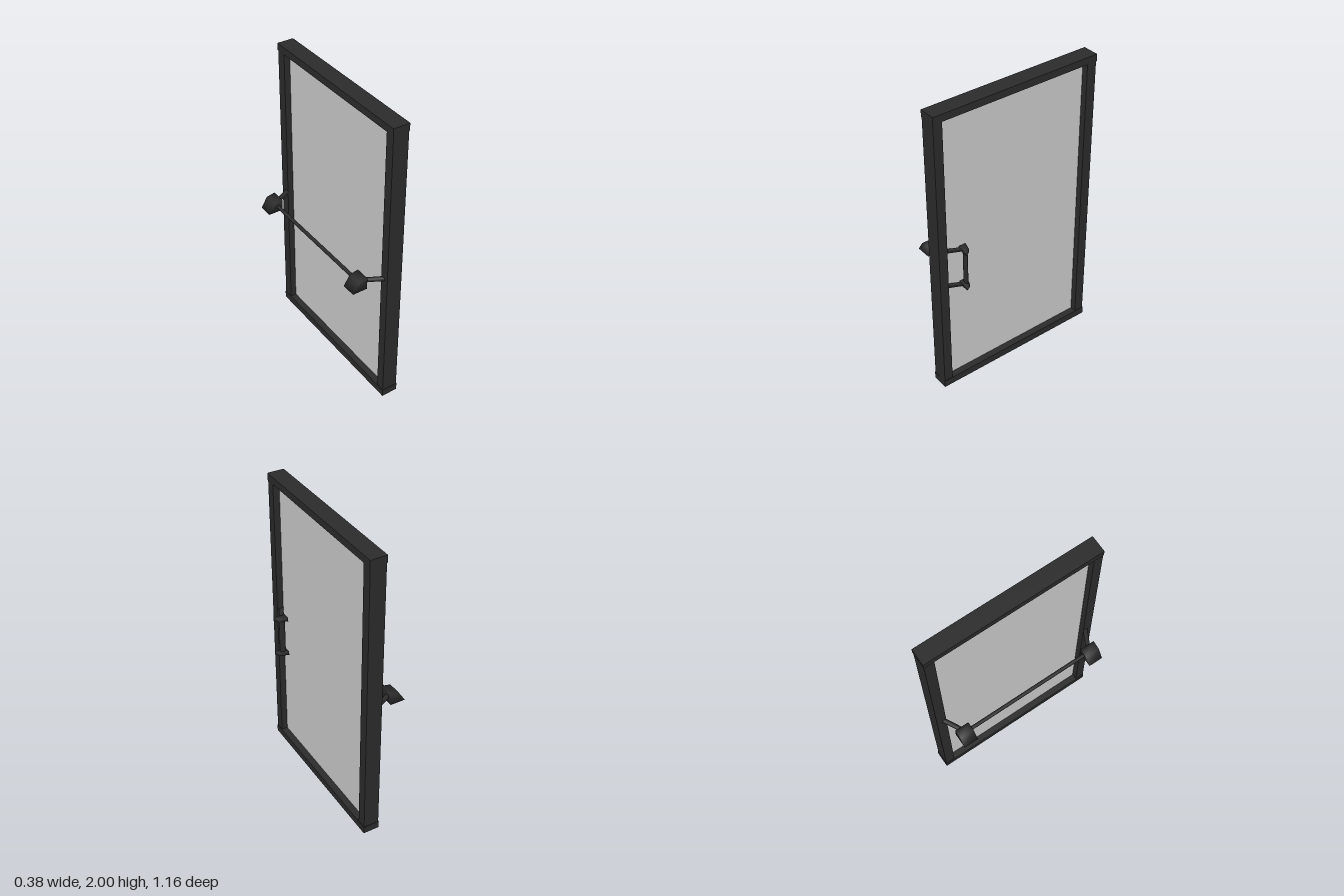
import * as THREE from 'three';
import { mergeVertices } from 'three/addons/utils/BufferGeometryUtils.js';

export function createModel() {
  const model = new THREE.Group();
  const dark = new THREE.MeshStandardMaterial({ color: 0x2b2b2b });
  const glass = new THREE.MeshStandardMaterial({ color: 0xc0c0c0 });
  const V = (x, y, z) => new THREE.Vector3(x, y, z);

  function add(name, geometry, parent = model, material = dark) {
    const mesh = new THREE.Mesh(geometry, material);
    mesh.name = name;
    parent.add(mesh);
    return mesh;
  }

  function box(name, x0, x1, y0, y1, z0, z1, material) {
    const mesh = add(name, new THREE.BoxGeometry(x1 - x0, y1 - y0, z1 - z0), model, material);
    mesh.position.set((x0 + x1) / 2, (y0 + y1) / 2, (z0 + z1) / 2);
  }

  // Round rod between two points
  function rod(name, a, b, radius, parent) {
    const dir = b.clone().sub(a);
    const mesh = add(name, new THREE.CylinderGeometry(radius, radius, dir.length(), 16), parent);
    mesh.position.copy(a).add(b).multiplyScalar(0.5);
    mesh.quaternion.setFromUnitVectors(V(0, 1, 0), dir.normalize());
    return mesh;
  }

  // Softly shaded end block from a profile, centred along its depth
  function block(name, points, depth, parent) {
    const shape = new THREE.Shape(points.map(([x, y]) => new THREE.Vector2(x, y)));
    const extruded = new THREE.ExtrudeGeometry(shape, { depth, bevelEnabled: false });
    extruded.translate(0, 0, -depth / 2);
    extruded.deleteAttribute('uv');
    extruded.deleteAttribute('normal');
    const geometry = mergeVertices(extruded);
    geometry.computeVertexNormals();
    return add(name, geometry, parent);
  }

  // Frame: rails slightly overhang the stiles
  box('topRail', 0.009, 0.119, 1.953, 2, -0.582, 0.582);
  box('bottomRail', 0.009, 0.119, 0, 0.05, -0.582, 0.582);
  box('frontStile', 0.012, 0.116, 0.05, 1.953, 0.52, 0.58);
  box('backStile', 0.012, 0.116, 0.05, 1.953, -0.579, -0.514);
  box('glassPane', 0.052, 0.074, 0.04, 1.96, -0.53, 0.53, glass);

  // Push bar across the inner side
  const pushBar = new THREE.Group();
  pushBar.name = 'pushBar';
  pushBar.position.z = 0.004;
  model.add(pushBar);
  rod('bar', V(-0.121, 0.94, -0.45), V(-0.121, 0.94, 0.45), 0.012, pushBar);
  const pushProfile = [[-0.191, 0.905], [-0.091, 0.905], [-0.091, 0.985], [-0.148, 0.973]];
  for (const side of [-1, 1]) {
    block('barEnd', pushProfile, 0.096, pushBar).position.z = side * 0.47;
    rod('barArm', V(-0.115, 0.943, side * 0.465), V(0.03, 0.943, side * 0.541), 0.015, pushBar);
  }

  // Pull handle on the outer side
  const handle = new THREE.Group();
  handle.name = 'pullHandle';
  model.add(handle);
  const grip = rod('grip', V(0.142, 0.79, 0.412), V(0.142, 1.055, 0.412), 0.021, handle);
  grip.scale.z = 0.5;
  const capProfile = [[0.188, -0.436], [0.169, -0.404], [0.11, -0.386], [0.11, -0.436]];
  for (const y of [0.791, 1.055]) {
    const cap = block('gripEnd', capProfile, 0.026, handle);
    cap.rotation.x = -Math.PI / 2;
    cap.position.y = y;
    const arm = add('gripArm', new THREE.BoxGeometry(0.03, 0.01, 0.12), handle);
    arm.position.set(0.111, y, 0.476);
    arm.rotation.y = -Math.atan2(0.028, 0.061);
  }
  return model;
}
